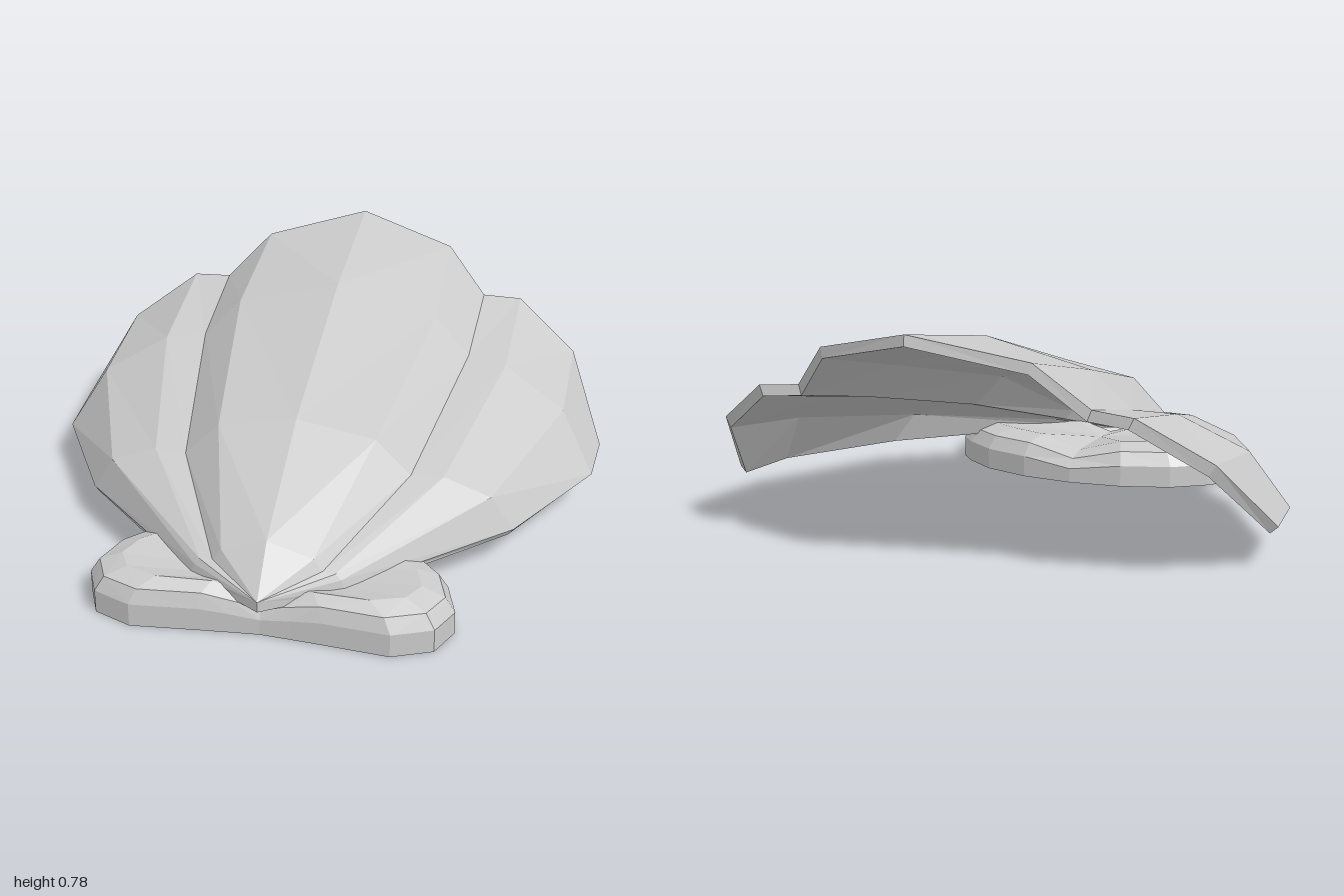
import * as THREE from 'three';

const material = new THREE.MeshStandardMaterial({ color: 0xcccccc, flatShading: true });

// Collects quads; flip reverses the winding for mirrored halves
function makeBuilder() {
  const pos = [];
  const tri = (a, b, c) => {
    const t = new THREE.Triangle(...[a, b, c].map(p => new THREE.Vector3(...p)));
    if (t.getArea() > 1e-7) pos.push(...a, ...b, ...c);
  };
  const quad = (a, b, c, d, flip = false) => {
    if (flip) { tri(a, c, b); tri(a, d, c); } else { tri(a, b, c); tri(a, c, d); }
  };
  const mesh = name => {
    const g = new THREE.BufferGeometry();
    g.setAttribute('position', new THREE.Float32BufferAttribute(pos, 3));
    g.computeVertexNormals();
    const m = new THREE.Mesh(g, material);
    m.name = name;
    return m;
  };
  return { quad, mesh };
}

// Ribs of one half, from the middle to the side, each running hinge to rim
const hinge = [0, 0.14, 0.94];
const ribs = [
  [hinge, [0, 0.28, 0.80], [0, 0.49, 0.36], [0, 0.69, -0.36], [0, 0.78, -0.94]],
  [hinge, [0.15, 0.23, 0.80], [0.27, 0.44, 0.36], [0.37, 0.60, -0.35], [0.36, 0.70, -0.82]],
  [hinge, [0.18, 0.19, 0.80], [0.39, 0.32, 0.36], [0.50, 0.47, -0.31], [0.51, 0.55, -0.715]],
  [hinge, [0.22, 0.185, 0.80], [0.50, 0.32, 0.35], [0.64, 0.46, -0.27], [0.65, 0.54, -0.73]],
  [hinge, [0.24, 0.165, 0.80], [0.66, 0.26, 0.35], [0.86, 0.34, -0.19], [0.87, 0.39, -0.61]],
  [hinge, [0.25, 0.135, 0.80], [0.74, 0.135, 0.33], [0.98, 0.14, -0.10], [1.00, 0.14, -0.34]],
];

function createShell() {
  const { quad, mesh } = makeBuilder();
  for (const s of [1, -1]) {
    const outer = ribs.map(r => r.map(([x, y, z]) => [s * x, y, z]));
    // Inner skin, thinner towards the side edge
    const inner = ribs.map((r, i) => r.map(([x, y, z], j) =>
      [s * x * 0.975, y - (i === 5 && j > 0 ? 0.022 : 0.036), z - (j === 4 ? 0.005 : 0)]));
    const flip = s < 0;
    for (let i = 0; i < 5; i++) {
      for (let j = 0; j < 4; j++) {
        quad(outer[i][j], outer[i + 1][j], outer[i + 1][j + 1], outer[i][j + 1], flip);
        quad(inner[i][j], inner[i][j + 1], inner[i + 1][j + 1], inner[i + 1][j], flip);
      }
      // Fan rim
      quad(outer[i][4], outer[i + 1][4], inner[i + 1][4], inner[i][4], flip);
    }
    // Side edge
    for (let j = 0; j < 4; j++) {
      quad(outer[5][j], inner[5][j], inner[5][j + 1], outer[5][j + 1], flip);
    }
  }
  return mesh('shell');
}

// Half outline of the foot in x, z, from front middle to back middle
const footOutline = [
  [0, 0.91], [0.10, 0.917], [0.20, 0.925], [0.42, 0.945], [0.55, 0.89], [0.60, 0.78],
  [0.56, 0.64], [0.50, 0.57], [0.38, 0.48], [0.20, 0.42], [0, 0.40],
];
// Foot sections: height, width scale, depth scale
const footRings = [
  [0, 0, 0], [0, 1, 1], [0.08, 1, 1], [0.13, 0.945, 0.91], [0.157, 0.82, 0.68], [0.16, 0, 0],
];

function createFoot() {
  const { quad, mesh } = makeBuilder();
  const cz = 0.74;
  for (const s of [1, -1]) {
    const rings = footRings.map(([y, sx, sz]) => footOutline.map(([x, z]) => {
      // The top dips between the two lobes
      const dip = 0.68 + 0.32 * Math.min(1, Math.abs(x * sx) / 0.18);
      return [s * x * sx, y * dip, cz + (z - cz) * sz];
    }));
    for (let k = 0; k < rings.length - 1; k++) {
      for (let i = 0; i < footOutline.length - 1; i++) {
        quad(rings[k][i], rings[k][i + 1], rings[k + 1][i + 1], rings[k + 1][i], s < 0);
      }
    }
  }
  return mesh('foot');
}

export function createModel() {
  const model = new THREE.Group();
  model.name = 'scallopShell';
  model.add(createShell(), createFoot());
  return model;
}
